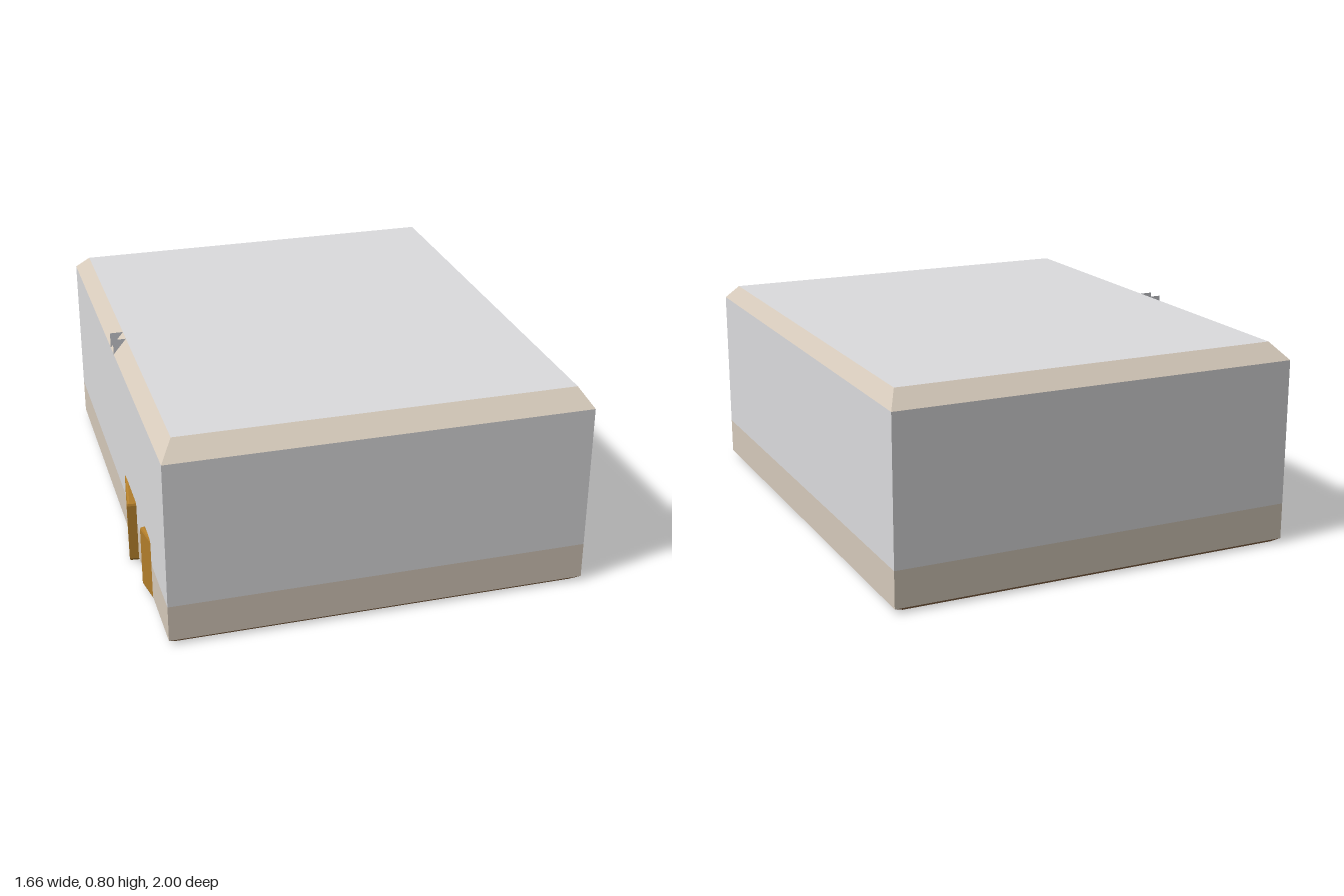
import * as THREE from 'three';

const mat = (name, color) => {
  const m = new THREE.MeshStandardMaterial({ color });
  m.name = name;
  return m;
};

// Rectangular outline at height y, corners counter-clockwise seen from above
const ring = (y, x0, x1, z0, z1) => [[x0, y, z1], [x1, y, z1], [x1, y, z0], [x0, y, z0]];

// Flat faces from four-cornered loops
function quads(faces) {
  const g = new THREE.BufferGeometry();
  const pos = faces.flatMap(([a, b, c, d]) => [a, b, c, a, c, d]).flat();
  g.setAttribute('position', new THREE.Float32BufferAttribute(pos, 3));
  g.computeVertexNormals();
  return g;
}

// Four side faces between two outlines
const band = (low, high) => quads(low.map((p, i) => {
  const j = (i + 1) % 4;
  return [p, low[j], high[j], high[i]];
}));

export function createModel() {
  const model = new THREE.Group();
  model.name = 'room';
  const plaster = mat('plaster grey', 0xdcdcde);
  const trim = mat('beige trim', 0xd6cabb);
  const floorWood = mat('floor wood', 0x98724e);
  const doorWood = mat('door wood', 0xb27e2b);

  const add = (name, geometry, material) => {
    const mesh = new THREE.Mesh(geometry, material);
    mesh.name = name;
    model.add(mesh);
  };

  // Stacked outlines of the shell
  const wall = (y) => ring(y, -0.795, 0.83, -1, 1);
  const under = ring(0, -0.77, 0.79, -0.975, 0.98);
  const roof = ring(0.8, -0.743, 0.79, -0.927, 0.92);

  add('floorUnderside', quads([[...under].reverse()]), floorWood);
  add('floorEdge', band(under, wall(0.018)), floorWood);
  add('wainscot', band(wall(0.018), wall(0.162)), trim);
  add('walls', band(wall(0.162), wall(0.738)), plaster);
  add('cornice', band(wall(0.738), roof), trim);
  add('ceiling', quads([roof]), plaster);

  // Two door leaves standing ajar through the wall on the -x side
  const leaf = (name, corners) => {
    const shape = new THREE.Shape(corners.map(([x, z]) => new THREE.Vector2(x, -z)));
    const g = new THREE.ExtrudeGeometry(shape, {
      depth: 0.236, bevelEnabled: true, bevelSize: 0.01, bevelThickness: 0.012, bevelSegments: 2,
    });
    g.rotateX(-Math.PI / 2);
    g.translate(0, 0.017, 0);
    add(name, g, doorWood);
  };
  leaf('wideDoor', [[-0.82, 0.386], [-0.78, 0.39], [-0.745, 0.14], [-0.785, 0.14]]);
  leaf('narrowDoor', [[-0.802, 0.588], [-0.765, 0.582], [-0.745, 0.71], [-0.782, 0.71]]);

  // Small bracket poking through the cornice
  const plate = mat('bracket grey', 0xd0d2d8);
  plate.side = THREE.DoubleSide;
  const gusset = new THREE.Shape([
    new THREE.Vector2(-0.795, 0.738), new THREE.Vector2(-0.743, 0.8), new THREE.Vector2(-0.795, 0.8),
  ]);
  for (const z of [-0.045, 0.025]) {
    add('bracket', new THREE.ShapeGeometry(gusset).translate(0, 0, z), plate);
  }

  return model;
}
